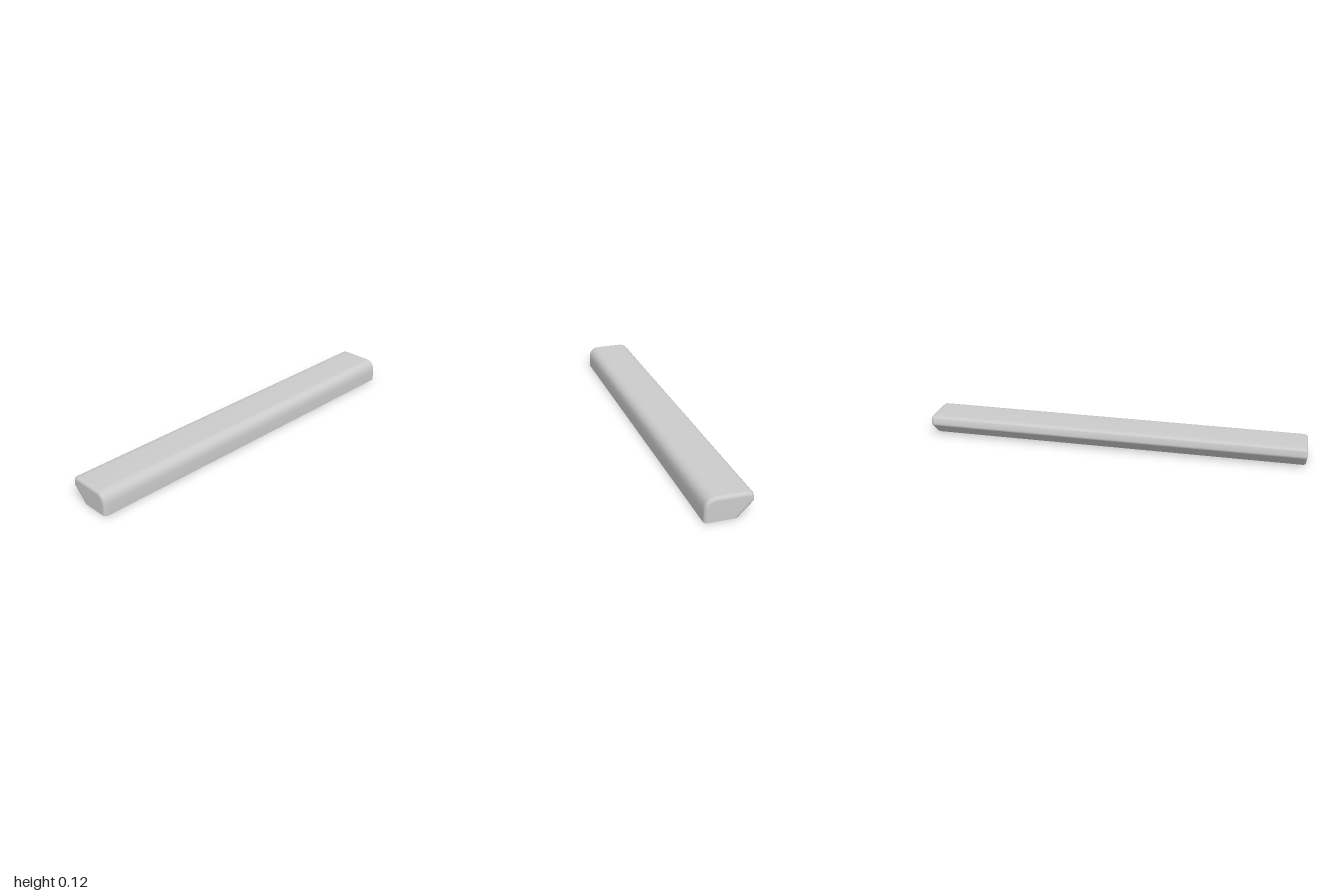
import * as THREE from 'three';

// Cross-section from the lower left, over the top, to the lower right
const OUTER = [
  [-0.045, 0], [-0.112, 0.065], [-0.117, 0.07], [-0.118, 0.08], [-0.113, 0.106], [-0.108, 0.111], [-0.099, 0.114],
  [-0.08, 0.118], [0.065, 0.118], [0.082, 0.115], [0.097, 0.107], [0.109, 0.094], [0.115, 0.077], [0.118, 0.055], [0.118, 0],
];
// The same section, inset to the edge of the flat end face
const INNER = [
  [-0.021, 0], [-0.095, 0.073], [-0.099, 0.077], [-0.1, 0.081], [-0.097, 0.094], [-0.094, 0.097], [-0.089, 0.098],
  [-0.078, 0.1], [0.063, 0.1], [0.074, 0.098], [0.085, 0.093], [0.093, 0.084], [0.097, 0.073], [0.1, 0.054], [0.1, 0],
];
const HALF = 1, BEVEL = 0.018, STEPS = 4;

function buildGeometry(positions, indices) {
  const geometry = new THREE.BufferGeometry();
  geometry.setAttribute('position', new THREE.Float32BufferAttribute(positions, 3));
  geometry.setIndex(indices);
  geometry.computeVertexNormals();
  return geometry;
}

// Rings of points, rounded inwards at both ends of the bar
function makeRings() {
  const ends = [];
  for (let s = 0; s <= STEPS; s++) {
    const a = (s / STEPS) * Math.PI / 2;
    ends.push({ z: HALF - BEVEL * (1 - Math.sin(a)), inset: 1 - Math.cos(a) });
  }
  const stations = [...ends.map(e => ({ z: -e.z, inset: e.inset })).reverse(), ...ends];
  return stations.map(({ z, inset }) => OUTER.map(([x, y], i) => [
    THREE.MathUtils.lerp(x, INNER[i][0], inset),
    THREE.MathUtils.lerp(y, INNER[i][1], inset),
    z,
  ]));
}

// Quads between consecutive rings
function addStrips(indices, ringCount, n) {
  for (let r = 0; r < ringCount - 1; r++) {
    for (let i = 0; i < n - 1; i++) {
      const a = r * n + i, b = a + 1, d = a + n, c = d + 1;
      indices.push(a, d, c, a, c, b);
    }
  }
}

export function createModel() {
  const group = new THREE.Group();
  group.name = 'bevelledBar';
  const material = new THREE.MeshStandardMaterial({ color: 0xcccccc });
  const rings = makeRings();
  const n = OUTER.length;

  // Sides, top and rounded ends, closed by flat end faces
  const bodyIndices = [];
  addStrips(bodyIndices, rings.length, n);
  const last = (rings.length - 1) * n;
  for (let i = 1; i < n - 1; i++) {
    bodyIndices.push(0, i, i + 1, last, last + i + 1, last + i);
  }
  const body = new THREE.Mesh(buildGeometry(rings.flat(2), bodyIndices), material);
  body.name = 'barBody';
  group.add(body);

  // Flat underside with a sharp edge all round
  const undersideIndices = [];
  addStrips(undersideIndices, rings.length, 2);
  const corners = rings.flatMap(ring => [...ring[n - 1], ...ring[0]]);
  const underside = new THREE.Mesh(buildGeometry(corners, undersideIndices), material);
  underside.name = 'underside';
  group.add(underside);

  return group;
}
